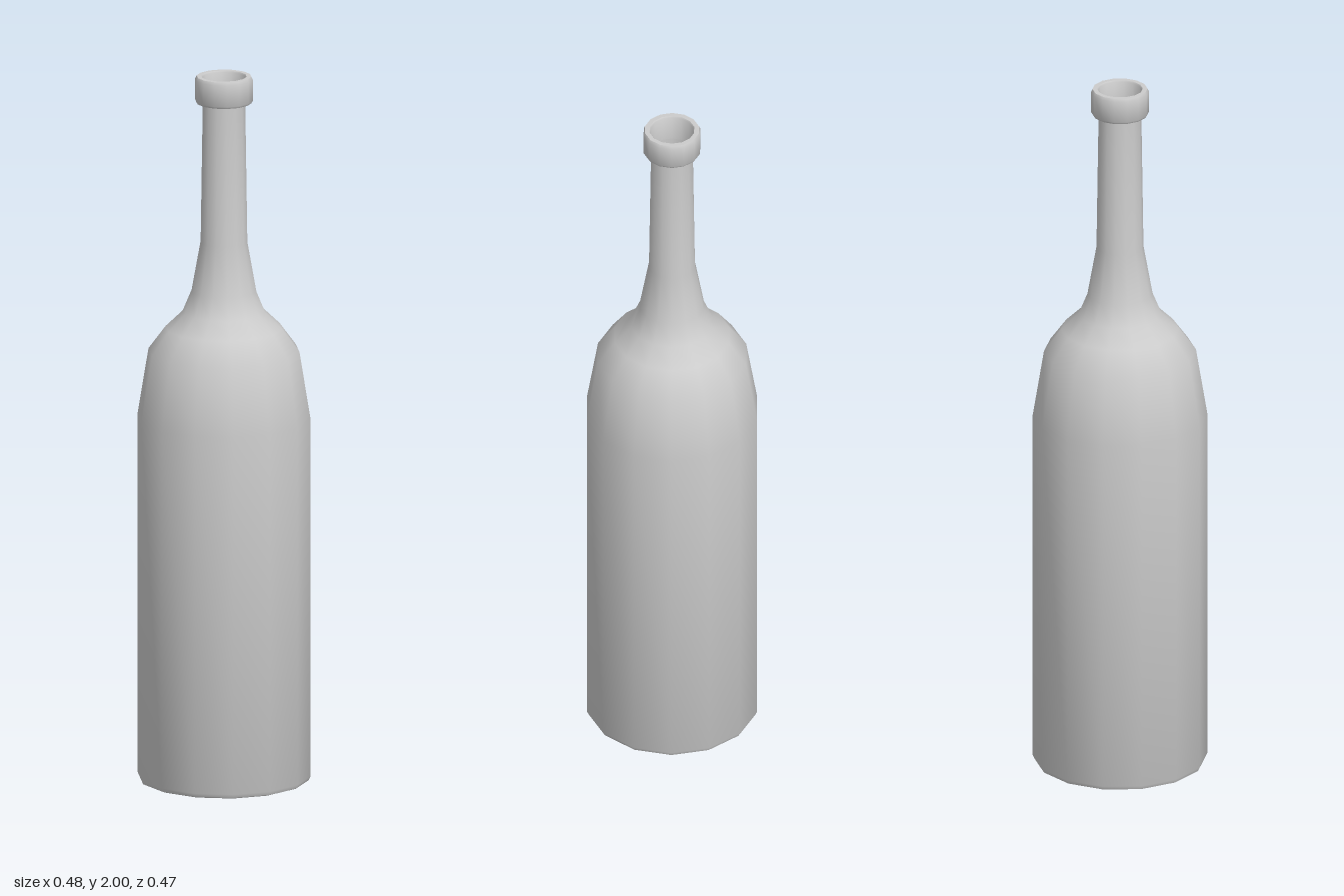
import * as THREE from 'three';
import { toCreasedNormals } from 'three/addons/utils/BufferGeometryUtils.js';

const SIDES = 14;

export function createModel() {
  const bottle = new THREE.Group();
  bottle.name = 'bottle';
  const material = new THREE.MeshStandardMaterial({ color: 0xcccccc, side: THREE.DoubleSide });

  // Revolve [radius, height] pairs, with a corner of the polygon on the x axis
  function addLathe(name, profile) {
    const points = profile.map(([r, y]) => new THREE.Vector2(r, y));
    const geometry = new THREE.LatheGeometry(points, SIDES, Math.PI / 2);
    const mesh = new THREE.Mesh(toCreasedNormals(geometry, 0.75), material);
    mesh.name = name;
    bottle.add(mesh);
  }

  // Foot ring, straight body, shoulder and neck
  addLathe('body', [
    [0.185, 0.02], [0.21, 0.004], [0.225, 0], [0.236, 0.004], [0.241, 0.015],
    [0.241, 1.03], [0.21, 1.22], [0.162, 1.285], [0.115, 1.33],
    [0.09, 1.39], [0.065, 1.53], [0.059, 1.93],
  ]);

  // Bevelled collar around the mouth, open in the middle
  addLathe('lip', [
    [0.058, 1.925], [0.076, 1.925], [0.08, 1.931], [0.08, 1.992],
    [0.076, 2], [0.063, 2], [0.06, 1.996], [0.058, 1.925],
  ]);

  // Recessed floor
  const floor = new THREE.Mesh(new THREE.CircleGeometry(0.185, SIDES), material);
  floor.name = 'base';
  floor.rotation.x = Math.PI / 2;
  floor.position.y = 0.02;
  bottle.add(floor);

  return bottle;
}
